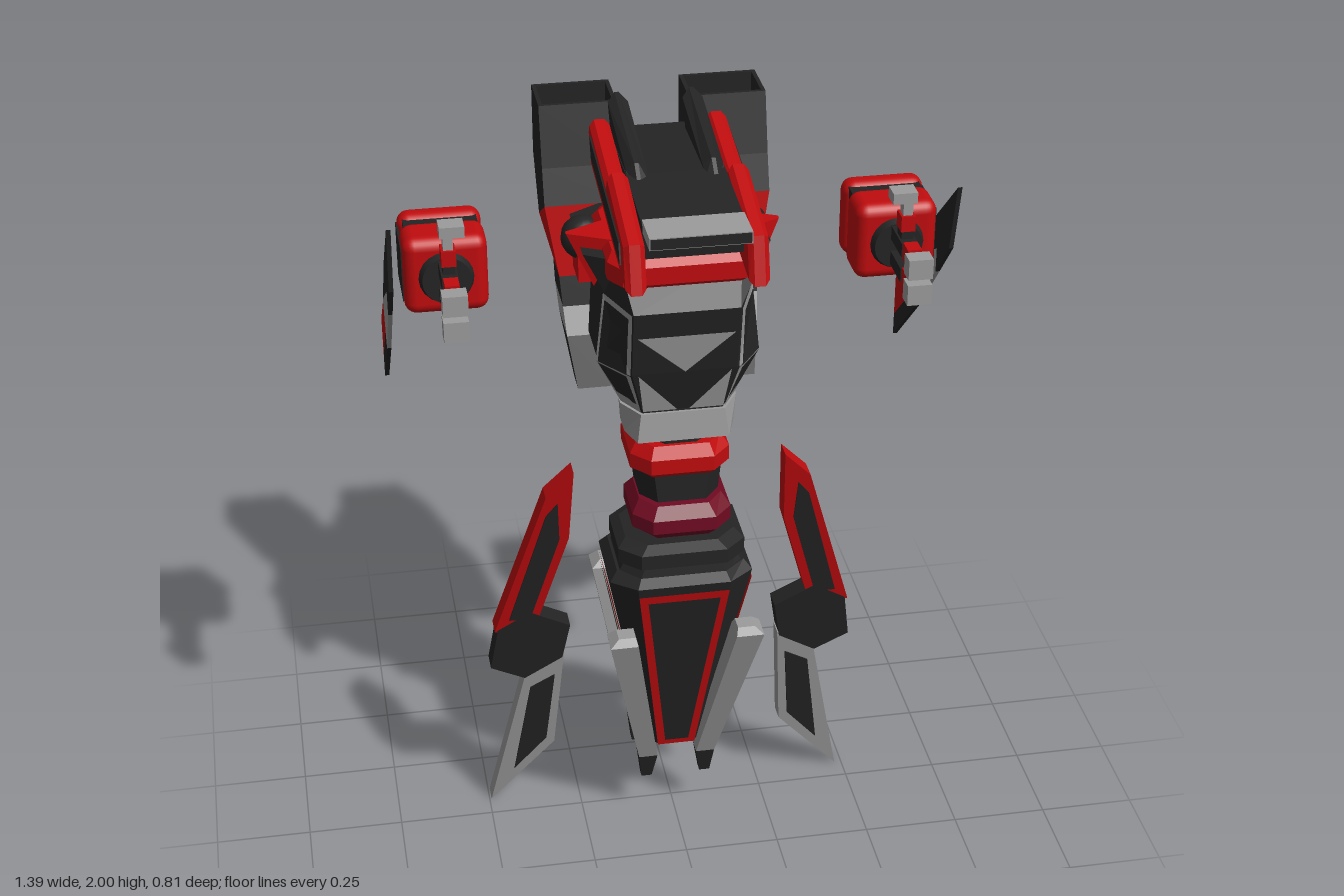
import * as THREE from 'three';
import { RoundedBoxGeometry } from 'three/addons/geometries/RoundedBoxGeometry.js';

const paint = (name, color) => new THREE.MeshStandardMaterial({ name, color, side: THREE.DoubleSide });

export function createModel() {
  const red = paint('red', 0xc00c0e), black = paint('black', 0x242424);
  const grey = paint('grey', 0x9c9c9c), crimson = paint('crimson', 0x700a22);
  const root = new THREE.Group();
  root.name = 'robot';
  const V = (x, y, z) => new THREE.Vector3(x, y, z);

  const add = (parent, name, geo, mat, x = 0, y = 0, z = 0) => {
    const m = new THREE.Mesh(geo, mat);
    m.name = name;
    m.position.set(x, y, z);
    parent.add(m);
    return m;
  };
  const box = (parent, name, mat, w, h, d, x, y, z) =>
    add(parent, name, new THREE.BoxGeometry(w, h, d), mat, x, y, z);

  const fromPoints = (pts) => {
    const g = new THREE.BufferGeometry().setFromPoints(pts);
    g.computeVertexNormals();
    return g;
  };
  const middle = (pts) => pts.reduce((c, p) => c.add(p), V(0, 0, 0)).divideScalar(pts.length);

  // Flat-faced solid through rings listed from bottom to top
  const loft = (parent, name, mat, rings) => {
    const t = [], n = rings[0].length, first = rings[0], last = rings[rings.length - 1];
    for (let r = 0; r < rings.length - 1; r++) for (let i = 0; i < n; i++) {
      const j = (i + 1) % n, a = rings[r], b = rings[r + 1];
      t.push(a[i], a[j], b[j], a[i], b[j], b[i]);
    }
    for (let i = 0; i < n; i++) {
      const j = (i + 1) % n;
      t.push(middle(last), last[i], last[j], middle(first), first[j], first[i]);
    }
    return add(parent, name, fromPoints(t), mat);
  };
  // Chamfered ring: a = half width of front and back, b = widest half width
  const oct = (y, a, b, zf, zb, cf = 0.05, cb = cf) => [
    [-a, zf], [a, zf], [b, zf - cf], [b, zb + cb], [a, zb], [-a, zb], [-b, zb + cb], [-b, zf - cf],
  ].map(([x, z]) => V(x, y, z));
  // Rectangular ring, optionally sloping from its front to its back edge
  const rect = (x0, x1, zf, zb, yf, yb = yf) => [V(x0, yf, zf), V(x1, yf, zf), V(x1, yb, zb), V(x0, yb, zb)];

  // Thin convex plate facing away from the body axis, its border drawn in by inset
  const plate = (parent, name, mat, pts, lift = 0.005, inset = 0) => {
    const c = middle(pts), k = pts.length;
    const pull = (q, other) => other.clone().sub(q).setLength(inset);
    let p = pts.map((q, i) => q.clone().add(pull(q, pts[(i + 1) % k])).add(pull(q, pts[(i + k - 1) % k])));
    const n = p[1].clone().sub(p[0]).cross(p[2].clone().sub(p[0])).normalize();
    if (n.dot(V(c.x, 0, c.z - 0.05)) < 0) { p.reverse(); n.negate(); }
    p = p.map((q) => q.addScaledVector(n, lift));
    const t = [];
    for (let i = 1; i < k - 1; i++) t.push(p[0], p[i], p[i + 1]);
    return add(parent, name, fromPoints(t), mat);
  };

  // Extrusions of outlines: (x, y) along z, or (z, y) along x, with optional bevel
  const extrude = (outline, depth, bevel = 0) => {
    const s = new THREE.Shape(outline.map(([u, v]) => new THREE.Vector2(u, v)));
    return new THREE.ExtrudeGeometry(s, {
      depth: depth - 2 * bevel, bevelEnabled: bevel > 0, bevelThickness: bevel,
      bevelSize: bevel, bevelOffset: -bevel, bevelSegments: 1,
    }).translate(0, 0, bevel - depth / 2);
  };
  const side = (outline, depth, x = 0, bevel = 0) =>
    extrude(outline, depth, bevel).rotateY(-Math.PI / 2).translate(x, 0, 0);

  // Head slab and visor
  add(root, 'head', side([[0.3, 1.81], [0.31, 1.9], [0.07, 1.92], [-0.22, 1.92], [-0.2, 1.86], [0, 1.82]], 0.24), black);
  box(root, 'visor', grey, 0.24, 0.03, 0.105, 0, 1.898, 0.354);
  box(root, 'visorFront', black, 0.234, 0.025, 0.006, 0, 1.898, 0.406);

  // Torso, collar and waist band
  loft(root, 'torso', black, [
    oct(1.25, 0.1, 0.13, 0.17, -0.03, 0.07, 0.04), oct(1.33, 0.1, 0.14, 0.17, -0.05, 0.07, 0.05),
    oct(1.45, 0.13, 0.2, 0.2, -0.11, 0.1, 0.06), oct(1.63, 0.13, 0.18, 0.235, -0.17, 0.135, 0.06),
    oct(1.73, 0.15, 0.23, 0.14, -0.19, 0.05, 0.05),
  ]);
  loft(root, 'collar', red, [
    oct(1.67, 0.13, 0.165, 0.18, -0.14), oct(1.69, 0.15, 0.18, 0.2, -0.16),
    oct(1.735, 0.15, 0.18, 0.2, -0.16), oct(1.757, 0.13, 0.165, 0.18, -0.14),
  ]);
  loft(root, 'waistBand', grey, [
    oct(1.25, 0.115, 0.138, 0.187, 0.04, 0.07, 0.01), oct(1.325, 0.105, 0.146, 0.178, 0.07, 0.07, 0.01),
  ]);
  plate(root, 'chestTriangle', grey, [V(-0.12, 1.565, 0.226), V(0.12, 1.565, 0.226), V(0, 1.455, 0.204)]);

  // Spine rings between torso and hips
  loft(root, 'spine', black, [oct(0.9, 0.04, 0.065, 0.15, 0.02, 0.03), oct(1.26, 0.04, 0.07, 0.15, 0, 0.03)]);
  loft(root, 'lowerRing', crimson, [
    oct(0.967, 0.065, 0.105, 0.185, -0.015), oct(0.993, 0.08, 0.126, 0.21, -0.037),
    oct(1.03, 0.08, 0.126, 0.21, -0.037), oct(1.06, 0.065, 0.105, 0.185, -0.015),
  ]);
  loft(root, 'abdomen', black, [oct(1.05, 0.06, 0.1, 0.165, -0.03), oct(1.14, 0.07, 0.11, 0.165, -0.04)]);
  loft(root, 'upperRing', red, [
    oct(1.13, 0.07, 0.108, 0.16, -0.05), oct(1.15, 0.08, 0.126, 0.18, -0.07),
    oct(1.19, 0.08, 0.126, 0.18, -0.07), oct(1.22, 0.07, 0.105, 0.16, -0.05),
  ]);

  // Hips and tapered skirt
  loft(root, 'hips', black, [
    oct(0.83, 0.12, 0.17, 0.2, -0.08), oct(0.88, 0.1, 0.145, 0.19, -0.05),
    oct(0.89, 0.11, 0.163, 0.21, -0.05), oct(0.93, 0.11, 0.163, 0.21, -0.05), oct(0.945, 0.09, 0.14, 0.18, -0.03),
  ]);
  const skirt = [oct(0.24, 0.05, 0.07, 0.08, -0.08, 0.025), oct(0.83, 0.12, 0.185, 0.21, -0.09, 0.05)];
  loft(root, 'skirt', black, [...skirt, oct(0.855, 0.11, 0.165, 0.195, -0.075)]);
  for (const [i, name] of [[0, 'front'], [2, 'left'], [4, 'back'], [6, 'right']]) {
    const [lo, hi] = skirt, top = (k) => lo[k].clone().lerp(hi[k], 0.96);
    const corners = [lo[i], lo[i + 1], top(i + 1), top(i)];
    plate(root, name + 'SkirtRim', red, corners);
    plate(root, name + 'SkirtPanel', black, corners, 0.009, 0.021);
  }

  // Everything paired is built for the left and mirrored
  for (const s of [1, -1]) {
    const g = new THREE.Group();
    g.name = s > 0 ? 'leftParts' : 'rightParts';
    g.scale.x = s;
    root.add(g);

    // Head rail and crest
    add(g, 'headRail', side([[0.38, 1.757], [0.35, 1.873], [0.095, 1.94], [0.075, 1.905], [-0.19, 1.955],
      [-0.21, 1.92], [-0.17, 1.84]], 0.05, 0.145, 0.012), red);
    add(g, 'railInset', side([[0.31, 1.805], [0.295, 1.855], [-0.16, 1.925], [-0.14, 1.875]], 0.006, 0.171), black);
    add(g, 'crest', side([[0.12, 1.9], [0.06, 1.945], [-0.245, 2], [-0.19, 1.89]], 0.05, 0.093, 0.02), black);

    // Chest plates, with one border round both faces of the flank
    plate(g, 'bellyPlate', grey, [V(0.115, 1.45, 0.202), V(0.015, 1.335, 0.174), V(0.1, 1.335, 0.174)]);
    const rows = [[V(0.1, 1.33, 0.17), V(0.14, 1.33, 0.1)], [V(0.13, 1.45, 0.2), V(0.2, 1.45, 0.1)],
      [V(0.13, 1.63, 0.235), V(0.18, 1.63, 0.1)]];
    const inner = rows.map(([a, b], i) => [[a, b], [b, a]].map(([p, q]) =>
      p.clone().lerp(q, 0.09).add(V(0, 0.012 * (1 - i), 0))));
    for (const i of [0, 1]) {
      plate(g, 'flankRim', grey, [rows[i][0], rows[i][1], rows[i + 1][1], rows[i + 1][0]]);
      plate(g, 'flank', black, [inner[i][0], inner[i][1], inner[i + 1][1], inner[i + 1][0]], 0.009);
    }

    // Shoulder, narrowing to a point outward
    const wedge = extrude([[0.14, 1.76], [0.262, 1.76], [0.2, 1.63]], 0.08), w = wedge.attributes.position;
    for (let i = 0; i < w.count; i++) w.setZ(i, 0.025 + w.getZ(i) * (0.275 - w.getX(i)) / 0.08);
    wedge.computeVertexNormals();
    add(g, 'shoulderWedge', wedge, red);
    add(g, 'shoulderJoint', new THREE.SphereGeometry(0.055, 16, 10), black, 0.205, 1.69, -0.09);
    box(g, 'shoulderBase', red, 0.06, 0.07, 0.1, 0.195, 1.63, -0.08);

    // Back thruster pod, top recessed
    const r1 = rect(0.145, 0.228, -0.06, -0.13, 1.28), r2 = rect(0.132, 0.245, -0.12, -0.27, 1.4);
    const r3 = rect(0.125, 0.25, -0.15, -0.3, 1.47), r4 = rect(0.115, 0.255, -0.17, -0.3, 1.545, 1.58);
    const r5 = rect(0.09, 0.285, -0.19, -0.31, 1.73, 1.66);
    loft(g, 'podTip', black, [r1, r2]);
    loft(g, 'podBand', grey, [r2, r3]);
    loft(g, 'podNeck', black, [r3, r4]);
    loft(g, 'podCollar', red, [r4, r5]);
    loft(g, 'pod', black, [r5, rect(0.09, 0.285, -0.22, -0.4, 1.82, 1.79), rect(0.09, 0.285, -0.26, -0.4, 1.97),
      rect(0.1, 0.275, -0.27, -0.39, 1.97), rect(0.1, 0.275, -0.26, -0.39, 1.88)]);

    // Forearm
    const x = 0.555, y = 1.68;
    add(g, 'forearm', new RoundedBoxGeometry(0.205, 0.2, 0.12, 3, 0.03), red, x, y, -0.005);
    add(g, 'forearmRear', new RoundedBoxGeometry(0.205, 0.2, 0.07, 3, 0.03), red, x, y, -0.115);
    box(g, 'forearmCore', black, 0.18, 0.18, 0.09, x, y, -0.07);
    box(g, 'forearmPlate', black, 0.006, 0.14, 0.15, 0.657, y, -0.05);
    add(g, 'elbow', new THREE.CylinderGeometry(0.06, 0.06, 0.21, 20).rotateX(Math.PI / 2), black, x, y, -0.05);
    add(g, 'wrist', new THREE.CylinderGeometry(0.06, 0.072, 0.03, 20).rotateX(Math.PI / 2), black, x, y, 0.058);

    // Hand: two fingers and a thumb
    for (const dy of [0.037, -0.03]) {
      box(g, 'fingerBase', black, 0.04, 0.035, 0.11, x, y + dy, 0.12);
      box(g, 'fingerBand', red, 0.035, 0.045, 0.045, x, y + dy, 0.198);
      box(g, 'fingerJoint', black, 0.025, 0.03, 0.03, x, y + dy, 0.23);
      box(g, 'fingerTip', grey, 0.06, 0.052, 0.045, x, y + dy, 0.262);
    }
    box(g, 'thumbBase', black, 0.03, 0.06, 0.04, x, 1.73, 0.13);
    box(g, 'thumbBand', red, 0.035, 0.04, 0.045, x, 1.775, 0.13);
    box(g, 'thumb', grey, 0.024, 0.04, 0.03, x, 1.81, 0.13);
    box(g, 'thumbTip', grey, 0.06, 0.028, 0.05, x - 0.01, 1.843, 0.128);

    // Thin arm blade
    const blade = (name, mat, pts) => add(g, name, side(pts, 0.011, 0.69), mat);
    blade('bladeTop', black, [[0.115, 1.845], [-0.07, 1.68], [-0.25, 1.48], [-0.035, 1.61], [-0.035, 1.545], [0.07, 1.66]]);
    blade('bladeMiddle', grey, [[-0.035, 1.61], [-0.25, 1.48], [-0.2, 1.365], [-0.035, 1.545]]);
    blade('bladeStripe', red, [[-0.25, 1.475], [-0.405, 1.345], [-0.405, 1.235], [-0.22, 1.405]]);
    blade('bladeEnd', black, [[-0.22, 1.405], [-0.405, 1.235], [-0.405, 1.175], [-0.2, 1.365]]);

    // Leg plates, leaning back toward the foot; the left leg stands slightly closer in
    const leg = (name, mat, pts, depth) => {
      const geo = extrude(pts, depth), p = geo.attributes.position;
      for (let i = 0; i < p.count; i++) p.setZ(i, p.getZ(i) + 0.2 * p.getY(i) - 0.085);
      geo.computeVertexNormals();
      add(g, name, geo, mat, s > 0 ? -0.014 : 0);
    };
    leg('thigh', red, [[0.275, 1.175], [0.345, 1.1], [0.478, 0.65], [0.375, 0.645], [0.285, 0.96]], 0.055);
    leg('thighInset', black, [[0.315, 1.08], [0.345, 1.04], [0.44, 0.69], [0.385, 0.69], [0.31, 0.96]], 0.063);
    leg('knee', black, [[0.385, 0.71], [0.47, 0.655], [0.49, 0.52], [0.4, 0.47], [0.3, 0.535], [0.28, 0.65]], 0.058);
    leg('shin', grey, [[0.295, 0.545], [0.4, 0.47], [0.495, 0], [0.32, 0.21]], 0.048);
    leg('shinInset', black, [[0.32, 0.47], [0.385, 0.43], [0.43, 0.12], [0.342, 0.23]], 0.056);

    // Skirt corner fins and their points
    for (const [name, zTop, zLow, yTop] of [['front', 0.223, 0.07, 0.71], ['back', -0.097, -0.095, 0.75]]) {
      const at = (cx, cz, r, yy) => rect(cx - r, cx + r, cz + r, cz - r, yy);
      loft(g, name + 'Fin', grey, [at(0.078, zLow, 0.025, 0.21), at(0.164, zTop, 0.036, yTop - 0.02), at(0.155, zTop, 0.022, yTop)]);
      loft(g, name + 'FinPoint', black, [at(0.08, zLow - 0.01, 0.014, 0.13), at(0.078, zLow, 0.025, 0.21)]);
    }
  }
  return root;
}
